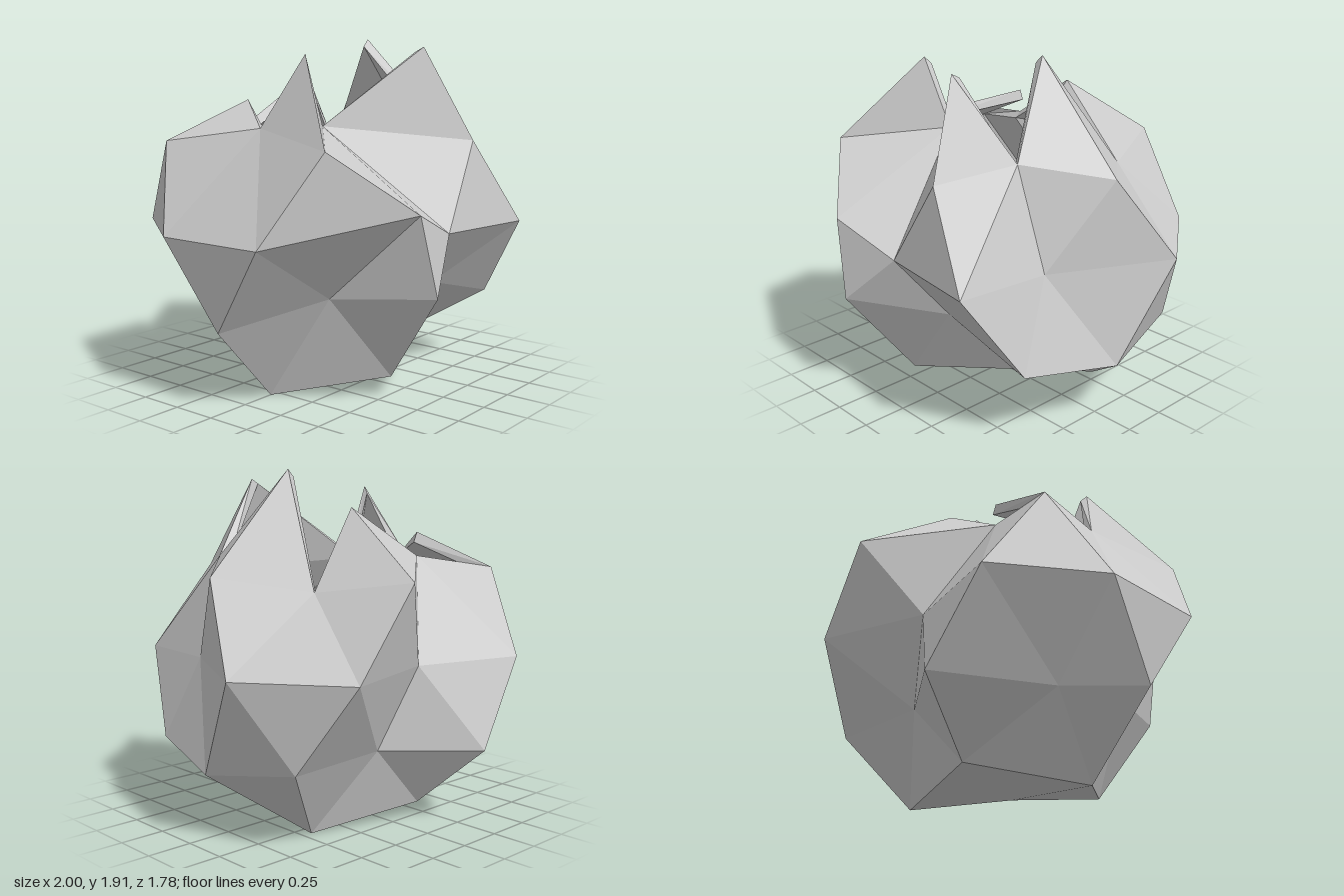
import * as THREE from 'three';

const R = 1.05, CENTRE = 0.9, THICKNESS = 0.06;

export function createModel() {
  const points = [], faces = [];
  const add = (x, y, z) => points.push(new THREE.Vector3(x, y, z)) - 1;

  // One horizontal ring of a faceted sphere; dents replace single corners.
  function ring(count, startDeg, height, dents = {}) {
    const radius = Math.sqrt(1 - height * height) * R;
    const ids = Array.from({ length: count }, (_, i) => {
      const a = THREE.MathUtils.degToRad(startDeg + (360 / count) * i);
      return dents[i] ? add(...dents[i])
        : add(Math.cos(a) * radius, CENTRE + height * R, Math.sin(a) * radius);
    });
    return i => ids[(i + count) % count];
  }

  // Rings from the broken rim down to the base
  const tip = ring(5, 0, 0.851, {
    0: [0.31, 1.92, 0], 1: [0.16, 1.87, 0.49], 2: [-0.45, 1.83, 0.17], 4: [0.17, 1.72, -0.34] });
  const notch = ring(5, 36, 0.526, {
    0: [0.5, 1.45, 0.36], 1: [-0.275, 1.45, 0.14], 2: [-0.61, 1.45, 0],
    3: [-0.27, 1.45, -0.41], 4: [0.5, 1.3, -0.41] });
  const shoulder = ring(5, 0, 0.447, { 0: [0.84, 1.37, 0], 1: [0.29, 1.37, 0.73] });
  const waist = ring(10, 18, 0, {
    0: [0.67, 0.9, 0.33], 2: [0, 0.9, 0.77], 3: [-0.39, 1.05, 0.85], 7: [0, 0.9, -0.67] });
  const hip = ring(5, 36, -0.447, { 1: [-0.29, 0.62, 0.89] });
  const lower = ring(5, 0, -0.526, {
    1: [0.18, 0.58, 0.55], 2: [-0.49, 0.58, 0.36], 3: [-0.63, 0.42, -0.33], 4: [0.18, 0.45, -0.55] });
  const base = ring(5, 36, -0.851, {
    0: [0.44, 0.27, 0.325], 1: [-0.17, 0.12, 0.526], 3: [-0.17, 0.09, -0.526] });
  const pole = add(0, 0.04, 0);
  const flap = add(-0.27, 1.58, -0.41);

  // Triangles that point up or down, wound to face outward
  const up = (left, right, top) => faces.push([left, top, right]);
  const down = (left, right, bottom) => faces.push([left, right, bottom]);

  for (let i = 0; i < 5; i++) {
    const e = 2 * i;
    // Shards above the shoulder; one is torn down to a single flap
    if (i === 3) up(notch(i - 1), shoulder(i), flap);
    else {
      up(shoulder(i), notch(i), tip(i));
      up(notch(i - 1), shoulder(i), tip(i));
    }
    // Upper half
    up(waist(e), waist(e + 1), notch(i));
    up(waist(e - 1), waist(e), shoulder(i));
    down(shoulder(i), notch(i), waist(e));
    down(notch(i), shoulder(i + 1), waist(e + 1));
    // Lower half
    down(waist(e), waist(e + 1), hip(i));
    down(waist(e - 1), waist(e), lower(i));
    up(lower(i), hip(i), waist(e));
    up(hip(i), lower(i + 1), waist(e + 1));
    down(lower(i), hip(i), base(i));
    down(hip(i), lower(i + 1), base(i));
    up(base(i), base(i + 1), lower(i + 1));
    down(base(i), base(i + 1), pole);
  }

  // Inner wall: every corner pushed in along its averaged normal
  const normals = points.map(() => new THREE.Vector3());
  for (const f of faces) {
    const n = new THREE.Triangle(...f.map(i => points[i])).getNormal(new THREE.Vector3());
    f.forEach(i => normals[i].add(n));
  }
  const inner = points.map((p, i) =>
    p.clone().addScaledVector(normals[i].normalize(), -THICKNESS));

  // Rim: a strip along each edge that belongs to only one face
  const edges = new Set(faces.flatMap(f => f.map((a, k) => `${a},${f[(k + 1) % 3]}`)));
  const rim = [];
  for (const [a, b] of [...edges].map(s => s.split(',').map(Number))) {
    if (edges.has(`${b},${a}`)) continue;
    rim.push(points[b], points[a], inner[a], points[b], inner[a], inner[b]);
  }

  const material = new THREE.MeshStandardMaterial({ color: 0xcccccc, flatShading: true });
  const group = new THREE.Group();
  group.name = 'brokenShell';
  function addPart(name, corners) {
    const geometry = new THREE.BufferGeometry().setFromPoints(corners);
    geometry.computeVertexNormals();
    const mesh = new THREE.Mesh(geometry, material);
    mesh.name = name;
    group.add(mesh);
  }
  addPart('outerShell', faces.flatMap(f => f.map(i => points[i])));
  addPart('innerShell', faces.flatMap(([a, b, c]) => [inner[a], inner[c], inner[b]]));
  addPart('brokenRim', rim);
  return group;
}
